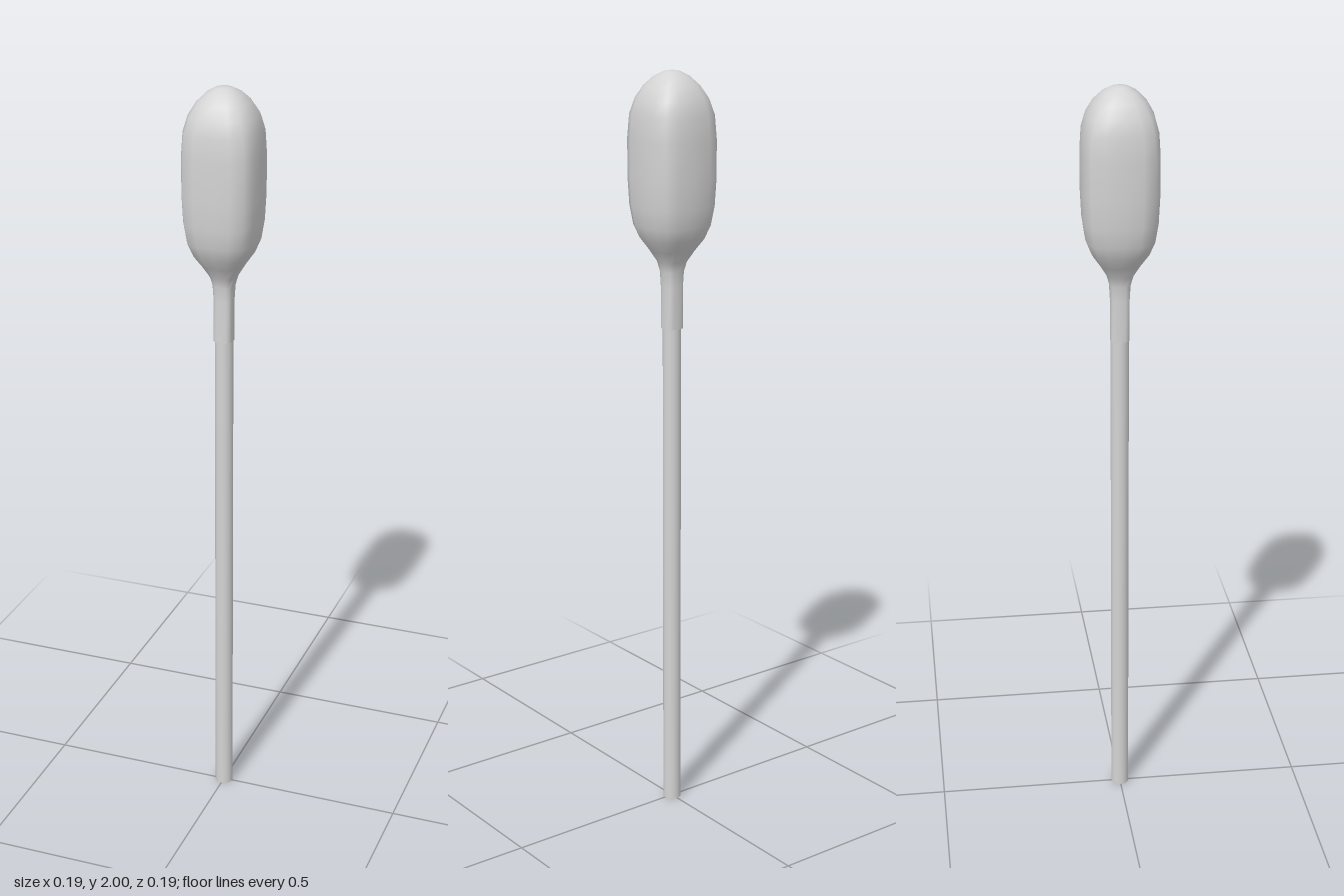
import * as THREE from 'three';

// One ring of 16 points, blended from a circle (0) to a rounded square (1)
const ROUND = [[1, 0], [0.924, 0.383], [0.707, 0.707], [0.383, 0.924]];
const SQUARE = [[1, 0], [0.98, 0.5], [0.83, 0.83], [0.5, 0.98]];

function ring(radius, y, squareness) {
  const points = [];
  for (let i = 0; i < 16; i++) {
    const a = ROUND[i % 4], b = SQUARE[i % 4];
    let x = THREE.MathUtils.lerp(a[0], b[0], squareness) * radius;
    let z = THREE.MathUtils.lerp(a[1], b[1], squareness) * radius;
    for (let q = 0; q < Math.floor(i / 4); q++) [x, z] = [-z, x];
    points.push(x, y, z);
  }
  return points;
}

// Smooth skin through rings of [radius, y, squareness], closed at the top
function loft(sections) {
  const positions = sections.flatMap(([r, y, s]) => ring(r, y, s));
  const index = [];
  const last = sections.length - 1;
  for (let k = 0; k < last; k++) {
    for (let i = 0; i < 16; i++) {
      const j = (i + 1) % 16;
      const a = k * 16 + i, b = k * 16 + j;
      index.push(a, a + 16, b, b, a + 16, b + 16);
    }
  }
  const tip = positions.length / 3;
  positions.push(0, 2, 0);
  for (let i = 0; i < 16; i++) index.push(last * 16 + i, tip, last * 16 + (i + 1) % 16);
  const geometry = new THREE.BufferGeometry();
  geometry.setAttribute('position', new THREE.Float32BufferAttribute(positions, 3));
  geometry.setIndex(index);
  geometry.computeVertexNormals();
  return geometry;
}

export function createModel() {
  const group = new THREE.Group();
  group.name = 'swab';
  const paleGrey = new THREE.MeshStandardMaterial({ color: 0xd4d4d4 });
  paleGrey.name = 'paleGrey';

  // Straight round stick
  const stick = new THREE.Mesh(new THREE.CylinderGeometry(0.024, 0.024, 1.48, 16), paleGrey);
  stick.name = 'stick';
  stick.position.y = 0.74;
  group.add(stick);

  // Padded head with a squarish neck gripping the stick
  const head = new THREE.Mesh(loft([
    [0.0245, 1.34, 1], [0.0245, 1.45, 1], [0.027, 1.49, 0.9], [0.034, 1.515, 0.8],
    [0.052, 1.545, 0.8], [0.073, 1.575, 0.8], [0.087, 1.61, 0.85], [0.094, 1.66, 0.95],
    [0.097, 1.73, 1], [0.097, 1.83, 1], [0.094, 1.89, 0.9], [0.084, 1.93, 0.7],
    [0.066, 1.962, 0.5], [0.044, 1.984, 0.3], [0.022, 1.996, 0.1],
  ]), paleGrey);
  head.name = 'paddedHead';
  group.add(head);

  return group;
}
